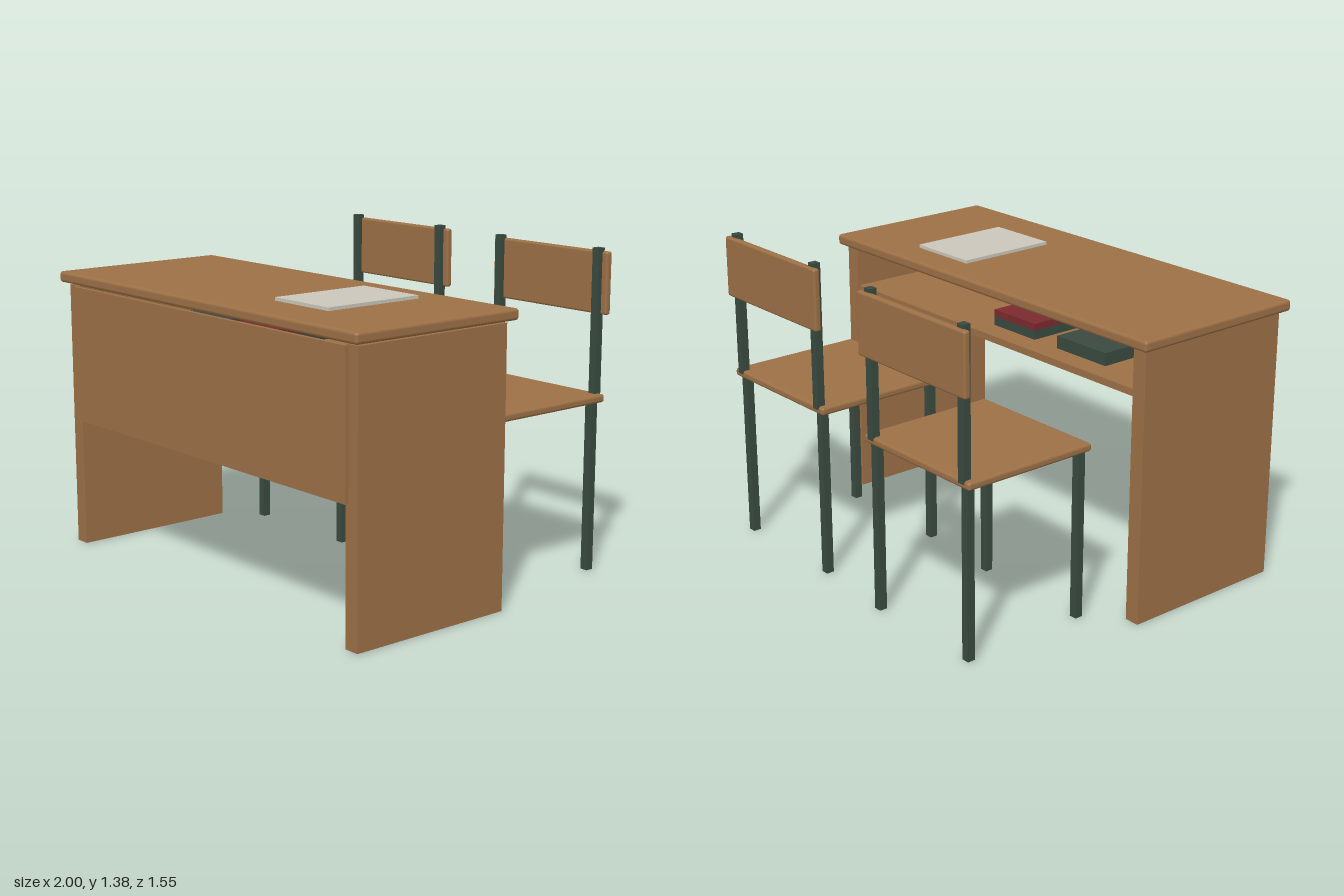
import * as THREE from 'three';
import { RoundedBoxGeometry } from 'three/addons/geometries/RoundedBoxGeometry.js';

function makeMaterial(name, color) {
  const m = new THREE.MeshStandardMaterial({ color });
  m.name = name;
  return m;
}

export function createModel() {
  const wood = makeMaterial('wood', 0x9c7046);
  const metal = makeMaterial('darkGreenMetal', 0x3a4a40);
  const paper = makeMaterial('paper', 0xcac6ba);
  const red = makeMaterial('redCover', 0x7c2a2e);

  // Box given by its [min, max] extents; a radius rounds its edges
  function addBox(parent, name, material, [x0, x1], [y0, y1], [z0, z1], radius = 0) {
    const size = [x1 - x0, y1 - y0, z1 - z0];
    const geometry = radius
      ? new RoundedBoxGeometry(...size, 2, radius)
      : new THREE.BoxGeometry(...size);
    const mesh = new THREE.Mesh(geometry, material);
    mesh.name = name;
    mesh.position.set((x0 + x1) / 2, (y0 + y1) / 2, (z0 + z1) / 2);
    parent.add(mesh);
  }

  // Desk: top, two side panels, front panel and shelf
  function createDesk() {
    const desk = new THREE.Group();
    desk.name = 'desk';
    addBox(desk, 'deskTop', wood, [-1, 1], [1.178, 1.226], [-0.055, 0.775], 0.014);
    addBox(desk, 'rightSidePanel', wood, [-0.967, -0.9], [0, 1.168], [-0.02, 0.74]);
    addBox(desk, 'leftSidePanel', wood, [0.9, 0.967], [0, 1.168], [-0.02, 0.74]);
    addBox(desk, 'frontPanel', wood, [-0.917, 0.917], [0.57, 1.165], [0.738, 0.758]);
    addBox(desk, 'shelf', wood, [-0.9, 0.9], [0.965, 0.995], [-0.01, 0.738]);
    return desk;
  }

  // Chair centred on x = 0, with the seat's front edge at z = 0
  function createChair(name) {
    const chair = new THREE.Group();
    chair.name = name;
    addBox(chair, 'seat', wood, [-0.33, 0.33], [0.735, 0.77], [-0.628, 0], 0.012);
    addBox(chair, 'backrest', wood, [-0.33, 0.33], [1.105, 1.37], [-0.647, -0.617], 0.01);
    for (const side of [-1, 1]) {
      const x = side * 0.284;
      const width = [x - 0.0175, x + 0.0175];
      addBox(chair, 'frontLeg', metal, width, [0, 0.737], [-0.045, -0.01]);
      addBox(chair, 'backLeg', metal, width, [0, 0.737], [-0.613, -0.578]);
      addBox(chair, 'backPost', metal, width, [0.755, 1.385], [-0.63, -0.595]);
    }
    return chair;
  }

  const model = new THREE.Group();
  model.name = 'deskWithChairs';
  model.add(createDesk());

  const rightChair = createChair('rightChair');
  rightChair.position.set(-0.465, 0, -0.13);
  const leftChair = createChair('leftChair');
  leftChair.position.set(0.525, 0, -0.098);
  model.add(rightChair, leftChair);

  // Things lying on the desk and on its shelf
  addBox(model, 'paperPad', paper, [0.25, 0.58], [1.226, 1.24], [0.09, 0.555]);
  addBox(model, 'lowerBook', metal, [-0.2, 0.06], [0.995, 1.035], [0.09, 0.44]);
  addBox(model, 'redBook', red, [-0.2, 0.06], [1.035, 1.065], [0.09, 0.44]);
  addBox(model, 'darkBook', metal, [-0.63, -0.34], [0.995, 1.05], [0.09, 0.44]);

  return model;
}
